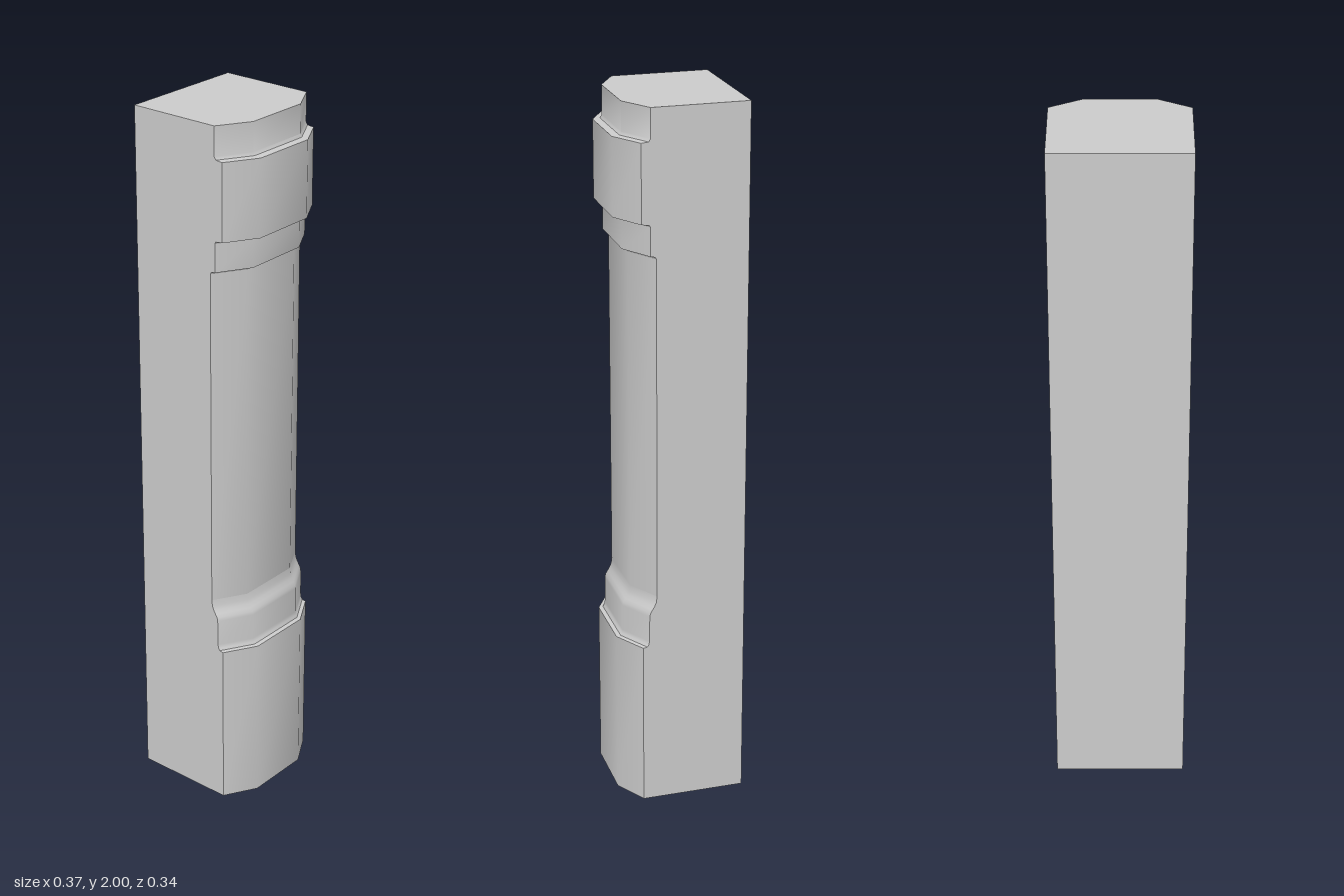
import * as THREE from 'three';
import { toCreasedNormals } from 'three/addons/utils/BufferGeometryUtils.js';

const HALF = 0.185, FLAT = 0.095, BACK = -0.172, CHAMFER = 0.052;

// Cross-section whose flat front sits at z, with canted corners (anticlockwise from above)
const section = ([y, z]) => [
  [-HALF, y, BACK], [-HALF, y, z - CHAMFER], [-FLAT, y, z],
  [FLAT, y, z], [HALF, y, z - CHAMFER], [HALF, y, BACK],
];

// Skin a list of [height, front z] levels, optionally closing an end
function skin(name, levels, { bottom = false, top = false } = {}) {
  const rings = levels.map(section), pos = [];
  const tri = (a, b, c) => pos.push(...a, ...b, ...c);
  for (let j = 0; j < rings.length - 1; j++) {
    for (let i = 0; i < 6; i++) {
      const k = (i + 1) % 6, lo = rings[j], hi = rings[j + 1];
      tri(lo[i], lo[k], hi[k]);
      tri(lo[i], hi[k], hi[i]);
    }
  }
  const first = rings[0], last = rings[rings.length - 1];
  for (let i = 1; i < 5; i++) {
    if (bottom) tri(first[0], first[i + 1], first[i]);
    if (top) tri(last[0], last[i], last[i + 1]);
  }
  const geometry = new THREE.BufferGeometry();
  geometry.setAttribute('position', new THREE.Float32BufferAttribute(pos, 3));
  const mesh = new THREE.Mesh(
    toCreasedNormals(geometry, THREE.MathUtils.degToRad(42)),
    new THREE.MeshStandardMaterial({ color: 0xcccccc }),
  );
  mesh.name = name;
  return mesh;
}

export function createModel() {
  const pilaster = new THREE.Group();
  pilaster.name = 'pilaster';
  pilaster.add(
    // Plain block at the foot
    skin('plinth', [[0, 0.172], [0.481, 0.172]], { bottom: true }),
    // Step in, small cove, then a soft shoulder down to the shaft
    skin('baseMoulding', [
      [0.481, 0.172], [0.483, 0.16], [0.489, 0.156], [0.5, 0.154], [0.575, 0.153],
      [0.585, 0.151], [0.595, 0.145], [0.605, 0.139], [0.617, 0.134], [0.635, 0.132],
    ]),
    skin('shaft', [[0.635, 0.132], [1.601, 0.132]]),
    // Neck band with a narrow eased underside
    skin('neckBand', [[1.601, 0.132], [1.607, 0.135], [1.609, 0.148], [1.688, 0.148]]),
    skin('capitalBlock', [[1.688, 0.148], [1.694, 0.151], [1.696, 0.172], [1.91, 0.172]]),
    // Set-back top band
    skin('crown', [[1.91, 0.172], [1.912, 0.152], [1.92, 0.147], [2, 0.147]], { top: true }),
  );
  return pilaster;
}
